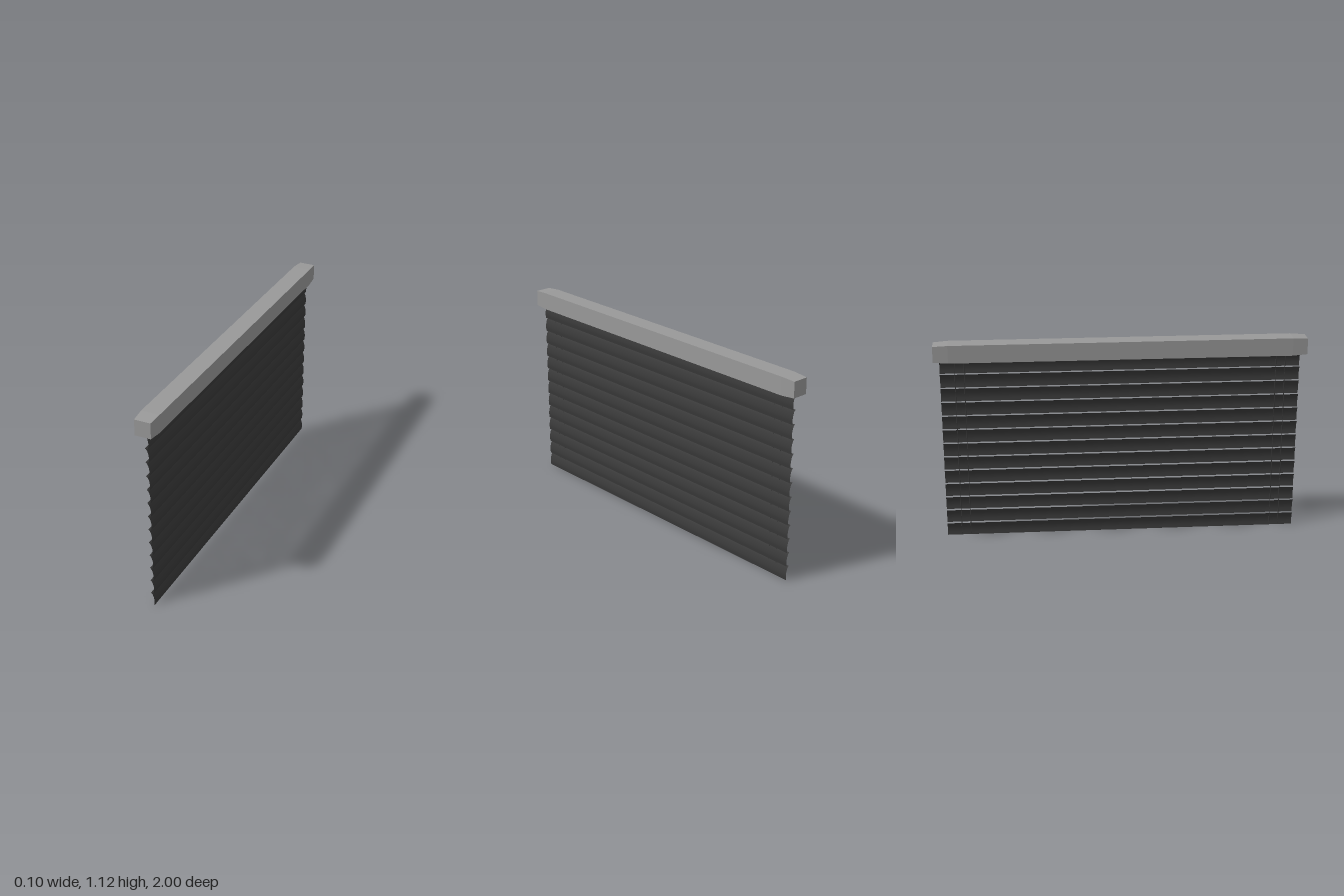
import * as THREE from 'three';
import { ParametricGeometry } from 'three/addons/geometries/ParametricGeometry.js';

const SLATS = 13, PITCH = 0.0787, HALF_WIDTH = 0.97;

// Head box: square bar whose ends taper slightly
function headBox(material) {
  const geo = new THREE.BoxGeometry(0.098, 0.097, 2, 1, 1, 3);
  const p = geo.attributes.position;
  for (let i = 0; i < p.count; i++) {
    const z = p.getZ(i);
    if (Math.abs(z) > 0.9) {
      p.setX(i, p.getX(i) * 0.89);
      p.setY(i, p.getY(i) * 0.89);
    } else {
      p.setZ(i, Math.sign(z) * 0.92);
    }
  }
  geo.computeVertexNormals();
  const mesh = new THREE.Mesh(geo, material);
  mesh.name = 'headBox';
  mesh.position.y = 1.0665;
  return mesh;
}

// Slat: thin curved sheet, top edge turned back to -x, belly towards +x
function slatGeometry() {
  const curve = new THREE.CatmullRomCurve3([
    [0.009, 0], [0.0115, 0.025], [0.008, 0.05], [0, 0.07], [-0.008, 0.077],
  ].map(([x, y]) => new THREE.Vector3(x, y, 0)));
  return new ParametricGeometry((u, v, target) => {
    curve.getPoint(v, target);
    target.z = HALF_WIDTH * (1 - 2 * u);
  }, 1, 10);
}

export function createModel() {
  const model = new THREE.Group();
  model.name = 'windowBlind';
  const boxMat = new THREE.MeshStandardMaterial({ color: 0x999999, flatShading: true });
  const slatMat = new THREE.MeshStandardMaterial({ color: 0x3a3a3a, side: THREE.DoubleSide });
  const cordMat = new THREE.MeshStandardMaterial({ color: 0x3a3a3a });

  model.add(headBox(boxMat));

  const slats = new THREE.Group();
  slats.name = 'slats';
  const slatGeo = slatGeometry();
  for (let i = 0; i < SLATS; i++) {
    const slat = new THREE.Mesh(slatGeo, slatMat);
    slat.name = 'slat';
    slat.position.y = i * PITCH;
    slats.add(slat);
  }
  model.add(slats);

  // Pairs of lift cords near both ends
  const cords = new THREE.Group();
  cords.name = 'cords';
  const cordGeo = new THREE.CylinderGeometry(0.002, 0.002, 1.015, 6);
  for (const side of [-1, 1]) {
    for (const z of [0.84, 0.89]) {
      const cord = new THREE.Mesh(cordGeo, cordMat);
      cord.name = 'cord';
      cord.position.set(0, 0.5175, side * z);
      cords.add(cord);
    }
  }
  model.add(cords);

  return model;
}
